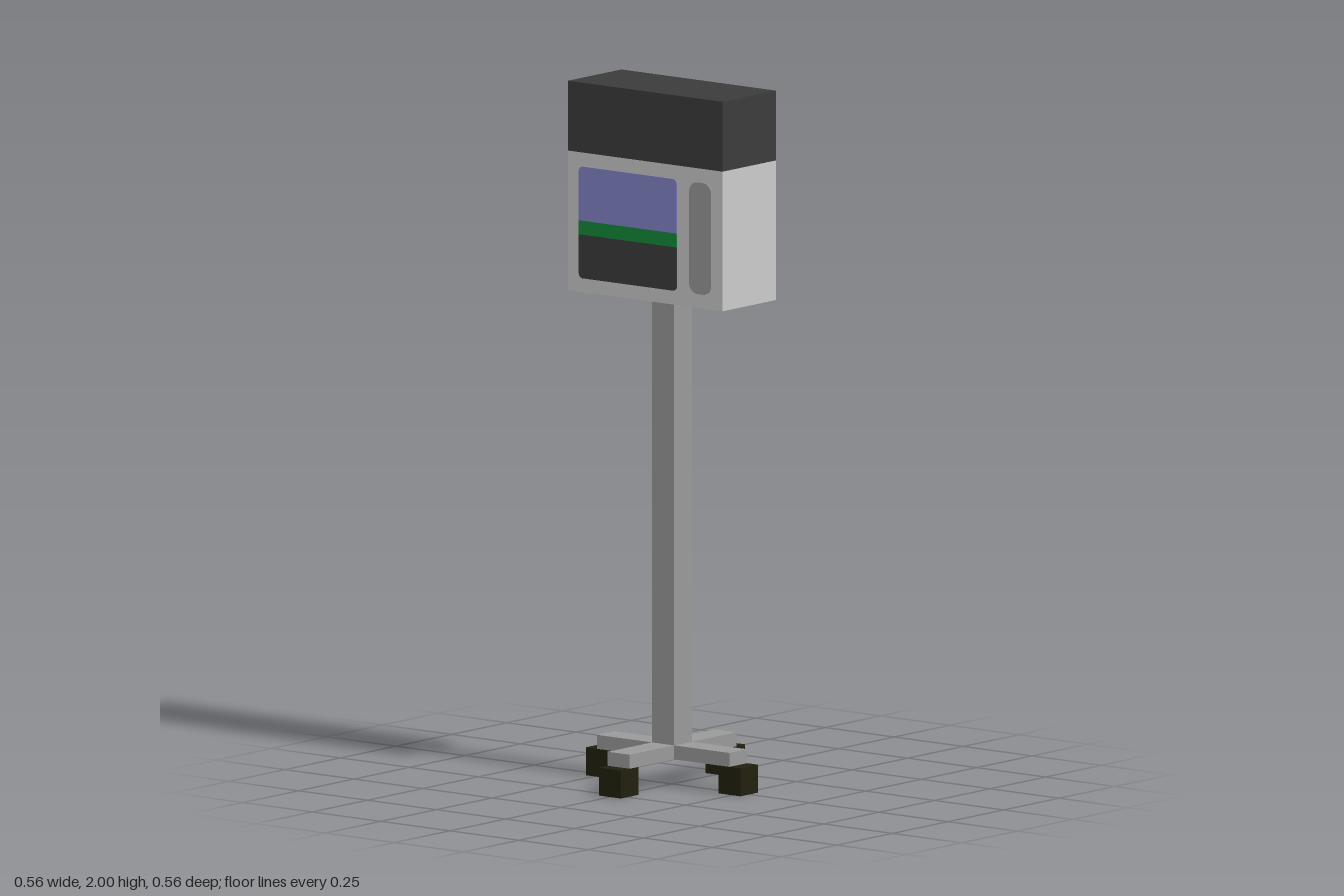
import * as THREE from 'three';

const mat = (name, color) => new THREE.MeshStandardMaterial({ name, color });

export function createModel() {
  const lightGrey = mat('light grey', 0xcacaca);
  const midGrey = mat('mid grey', 0x999999);
  const charcoal = mat('charcoal', 0x3b3b3b);
  const rubber = mat('dark rubber', 0x22200e);
  const blue = mat('screen blue', 0x8484c9);
  const green = mat('strip green', 0x138a3c);

  const model = new THREE.Group();
  model.name = 'standingUnit';

  const box = (name, material, w, h, d, x, y, z) => {
    const mesh = new THREE.Mesh(new THREE.BoxGeometry(w, h, d), material);
    mesh.name = name;
    mesh.position.set(x, y, z);
    model.add(mesh);
  };

  // Thin plate on the front of the case, with separate top and bottom corner radii
  const plate = (name, material, x0, x1, y0, y1, top, bottom) => {
    const s = new THREE.Shape();
    s.moveTo(x0 + bottom, y0);
    s.lineTo(x1 - bottom, y0);
    if (bottom) s.absarc(x1 - bottom, y0 + bottom, bottom, -Math.PI / 2, 0);
    s.lineTo(x1, y1 - top);
    if (top) s.absarc(x1 - top, y1 - top, top, 0, Math.PI / 2);
    s.lineTo(x0 + top, y1);
    if (top) s.absarc(x0 + top, y1 - top, top, Math.PI / 2, Math.PI);
    s.lineTo(x0, y0 + bottom);
    if (bottom) s.absarc(x0 + bottom, y0 + bottom, bottom, Math.PI, Math.PI * 1.5);
    const geometry = new THREE.ExtrudeGeometry(s, { depth: 0.002, bevelEnabled: false, curveSegments: 6 });
    const mesh = new THREE.Mesh(geometry, material);
    mesh.name = name;
    mesh.position.z = 0.12;
    model.add(mesh);
  };

  // Case and its cap
  box('case', lightGrey, 0.56, 0.4, 0.24, 0, 1.6, 0);
  box('cap', charcoal, 0.56, 0.2, 0.24, 0, 1.9, 0);

  // Front panel: screen, strip, lower panel and side slot
  plate('screen', blue, -0.24, 0.115, 1.605, 1.76, 0.015, 0);
  plate('strip', green, -0.24, 0.115, 1.565, 1.605, 0, 0);
  plate('lowerPanel', charcoal, -0.24, 0.115, 1.44, 1.565, 0, 0.015);
  plate('sideSlot', midGrey, 0.16, 0.24, 1.44, 1.76, 0.03, 0.03);

  // Post
  box('post', midGrey, 0.08, 1.28, 0.08, 0, 0.76, 0);

  // Cross base: four arms, each with a caster under its end
  for (let i = 0; i < 4; i++) {
    const dx = Math.round(Math.cos(i * Math.PI / 2));
    const dz = Math.round(Math.sin(i * Math.PI / 2));
    const length = 0.2;
    box('arm', midGrey, dx ? length : 0.08, 0.04, dz ? length : 0.08, dx * 0.14, 0.1, dz * 0.14);
    box('caster', rubber, 0.08, 0.08, 0.08, dx * 0.24, 0.04, dz * 0.24);
  }
  // Underside of the base hub
  box('hub', midGrey, 0.08, 0.04, 0.08, 0, 0.1, 0);

  return model;
}
